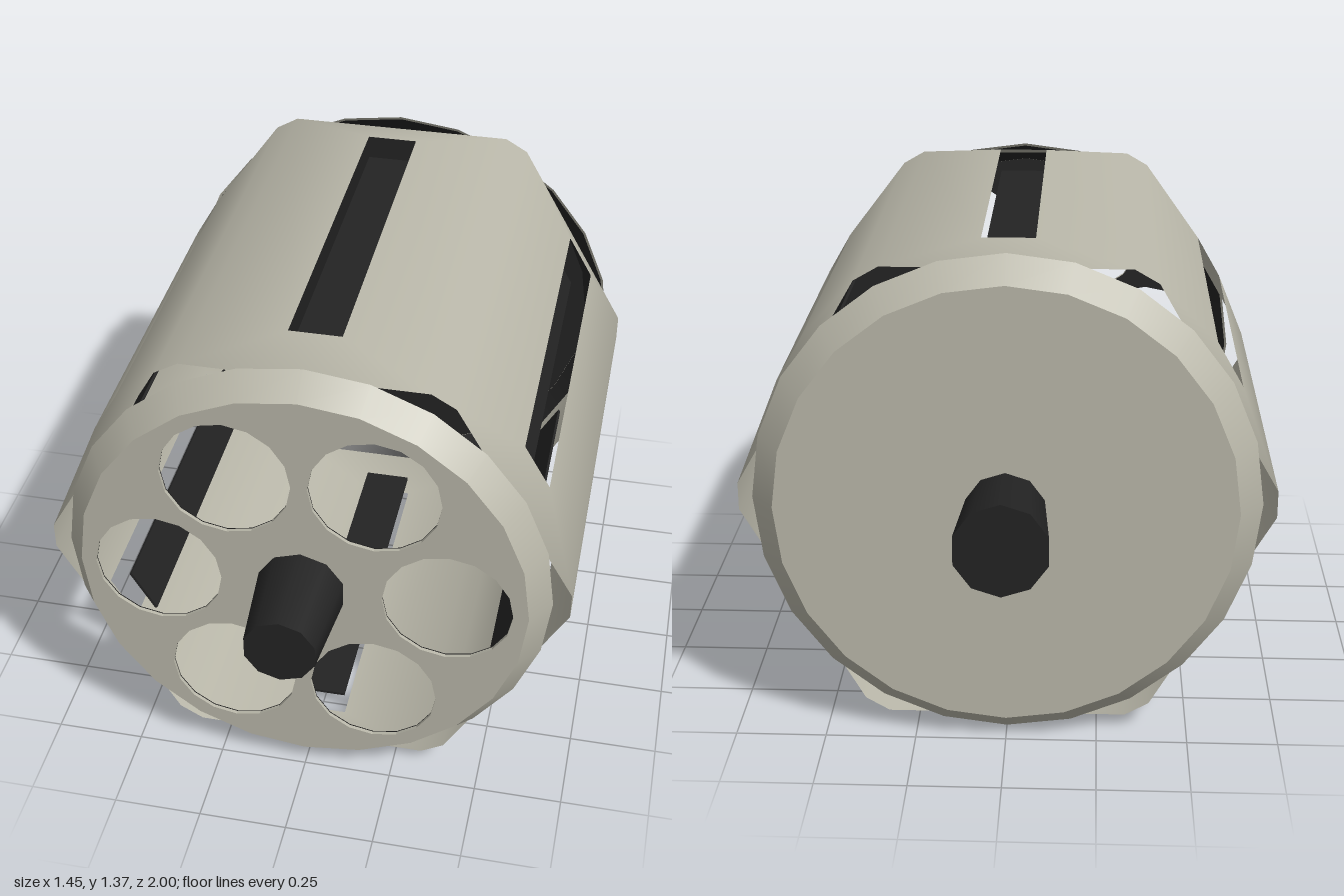
import * as THREE from 'three';

const shellGrey = new THREE.MeshStandardMaterial({ color: 0xb9b7a9, side: THREE.DoubleSide });
shellGrey.name = 'warmGrey';
const capGrey = shellGrey;
const black = new THREE.MeshStandardMaterial({ color: 0x232323, side: THREE.DoubleSide });
black.name = 'black';

const CY = 0.69;          // height of the drum axis
const END = 0.675;        // half length of the shell
const SLOT = 0.53;        // half length of the slots
const polar = (r, deg) => [r * Math.cos(deg * Math.PI / 180), r * Math.sin(deg * Math.PI / 180)];

function add(group, name, geometry, material) {
  const mesh = new THREE.Mesh(geometry, material);
  mesh.name = name;
  group.add(mesh);
  return mesh;
}

// Drum wall: hexagonal at the ends, bulging outward around six open slots
function shellGeometry() {
  const pos = [], nor = [];
  const quad = (...corners) => {
    for (const i of [0, 1, 2, 0, 2, 3]) {
      const [x, y, z] = corners[i], l = Math.hypot(x, y);
      pos.push(x, y, z);
      nor.push(x / l, y / l, 0);
    }
  };
  for (let k = 0; k < 6; k++) {
    const a = k * 60;
    const z = (r, deg, h) => [...polar(r, deg), h];
    const R = 0.724, S = 0.69;
    const [c0, c1, s0, s1, c2] = [a - 3, a + 3, a + 24, a + 36, a + 57];
    // narrow corner strip, then the two sides of the slot
    quad(z(R, c0, END), z(R, c1, END), z(R, c1, -END), z(R, c0, -END));
    quad(z(R, c1, END), z(S, s0, SLOT), z(S, s0, -SLOT), z(R, c1, -END));
    quad(z(S, s1, SLOT), z(R, c2, END), z(R, c2, -END), z(S, s1, -SLOT));
    // sloping ends of the slot
    quad(z(R, c1, END), z(R, c2, END), z(S, s1, SLOT), z(S, s0, SLOT));
    quad(z(S, s0, -SLOT), z(S, s1, -SLOT), z(R, c2, -END), z(R, c1, -END));
  }
  const g = new THREE.BufferGeometry();
  g.setAttribute('position', new THREE.Float32BufferAttribute(pos, 3));
  g.setAttribute('normal', new THREE.Float32BufferAttribute(nor, 3));
  return g;
}

const ring = (r, n, cx = 0, cy = 0) => Array.from({ length: n }, (_, i) => {
  const [x, y] = polar(r, i * 360 / n);
  return new THREE.Vector2(cx + x, cy + y);
});

// Disc with six round chamber openings
function piercedDisc(r) {
  const shape = new THREE.Shape(ring(r, 24));
  for (let k = 0; k < 6; k++) shape.holes.push(new THREE.Path(ring(0.178, 16, ...polar(0.4, k * 60))));
  return shape;
}

// Bevelled rim along z, from radius r0 at z0 to radius r1 at z1
function rim(r0, z0, r1, z1) {
  const g = new THREE.CylinderGeometry(r1, r0, z1 - z0, 24, 1, true);
  return g.rotateX(Math.PI / 2).rotateY(0).translate(0, 0, (z0 + z1) / 2);
}

export function createModel() {
  const model = new THREE.Group();
  model.name = 'slottedDrum';
  const drum = new THREE.Group();
  drum.name = 'drum';
  drum.position.y = CY;
  model.add(drum);

  add(drum, 'shell', shellGeometry(), shellGrey);

  // Black strips set just behind the slots
  for (let k = 0; k < 6; k++) {
    const strip = add(drum, 'slotStrip', new THREE.BoxGeometry(0.008, 0.14, 1.05), black);
    const a = 30 + k * 60;
    strip.position.set(...polar(0.616, a), 0);
    strip.rotation.z = a * Math.PI / 180;
  }

  // Front cap with chamber openings, lined in black
  add(drum, 'frontRim', rim(0.675, 0.675, 0.62, 0.75), capGrey);
  add(drum, 'frontRimLining', rim(0.668, 0.675, 0.612, 0.738), black);
  const plate = new THREE.ExtrudeGeometry(piercedDisc(0.62), { depth: 0.01, bevelEnabled: false });
  add(drum, 'frontPlate', plate.translate(0, 0, 0.74), capGrey);
  add(drum, 'frontPlateLining', new THREE.ShapeGeometry(piercedDisc(0.612)).translate(0, 0, 0.737), black);

  // Closed back cap, lined in black
  add(drum, 'backRim', rim(0.62, -0.75, 0.685, -0.675), capGrey);
  add(drum, 'backRimLining', rim(0.612, -0.738, 0.678, -0.675), black);
  add(drum, 'backPlate', new THREE.CircleGeometry(0.62, 24).rotateY(Math.PI).translate(0, 0, -0.75), capGrey);
  add(drum, 'backPlateLining', new THREE.CircleGeometry(0.612, 24).translate(0, 0, -0.74), black);

  // Axle stubs
  const stub = (name, rFront, rBack, z) => {
    const g = new THREE.CylinderGeometry(rFront, rBack, 0.25, 10).rotateX(Math.PI / 2);
    add(drum, name, g.translate(0, 0, z), black);
  };
  stub('frontAxle', 0.1, 0.122, 0.875);
  stub('backAxle', 0.11, 0.128, -0.875);

  return model;
}
